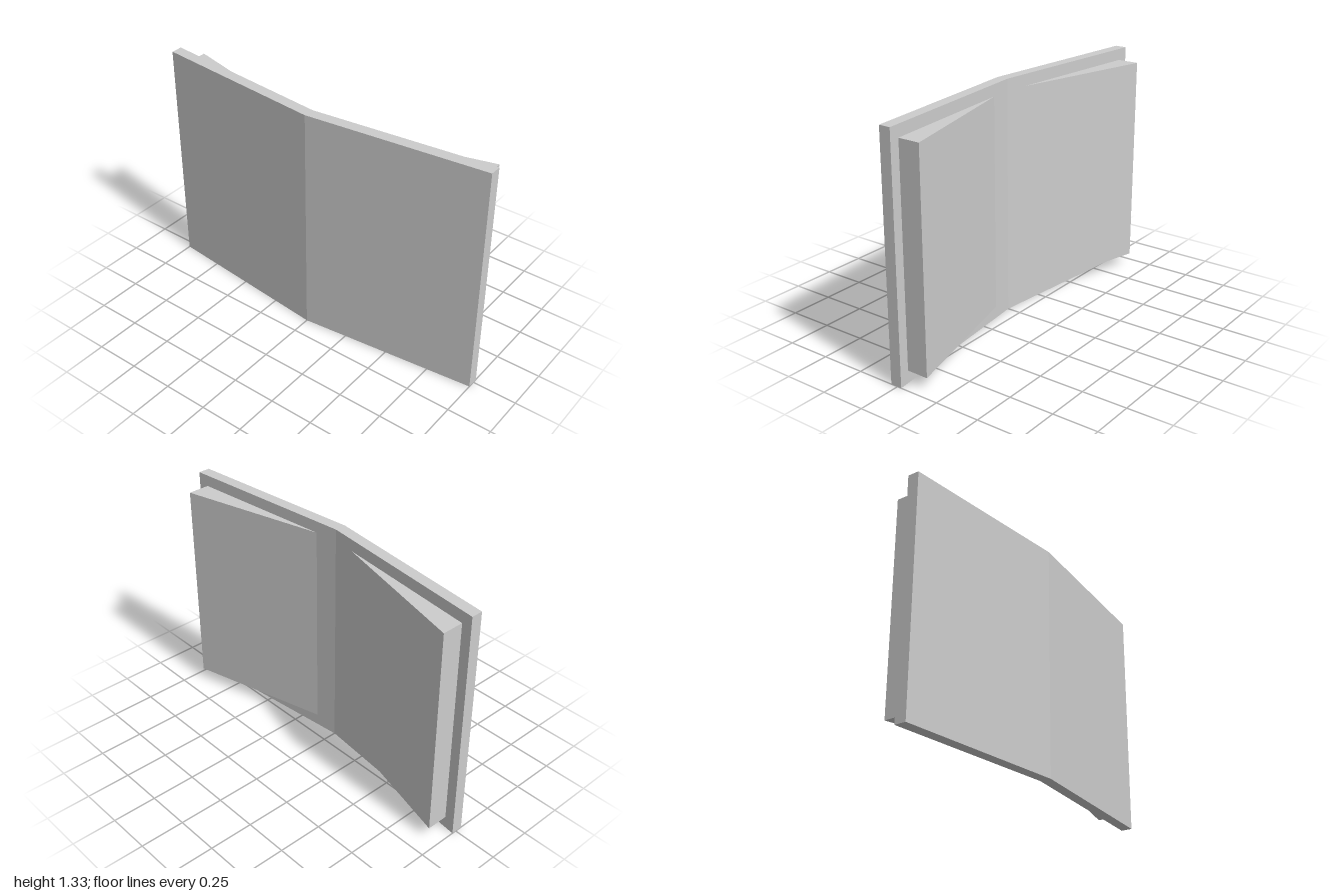
import * as THREE from 'three';

const paper = new THREE.MeshStandardMaterial({ color: 0xcccccc });
paper.name = 'lightGrey';

// Extrude an outline of [x, z] points upward from y0 to y1
function slab(name, points, y0, y1) {
  const shape = new THREE.Shape(points.map(([x, z]) => new THREE.Vector2(x, -z)));
  const geometry = new THREE.ExtrudeGeometry(shape, { depth: y1 - y0, bevelEnabled: false });
  geometry.rotateX(-Math.PI / 2).translate(0, y0, 0);
  const mesh = new THREE.Mesh(geometry, paper);
  mesh.name = name;
  return mesh;
}

export function createModel() {
  const book = new THREE.Group();
  book.name = 'openBook';

  // Cover: one bent board, folded at the spine
  book.add(slab('cover', [
    [-0.143, 0], [-0.04, 1], [0.025, 1], [-0.08, 0], [0.025, -1], [-0.04, -1],
  ], 0, 1.325));

  // Page blocks: wedges that thicken toward the outer edges
  for (const side of [1, -1]) {
    book.add(slab(side > 0 ? 'frontPages' : 'backPages', [
      [-0.066, 0.13 * side], [0.017, 0.94 * side], [0.141, 0.94 * side],
    ], 0.068, 1.26));
  }
  return book;
}
